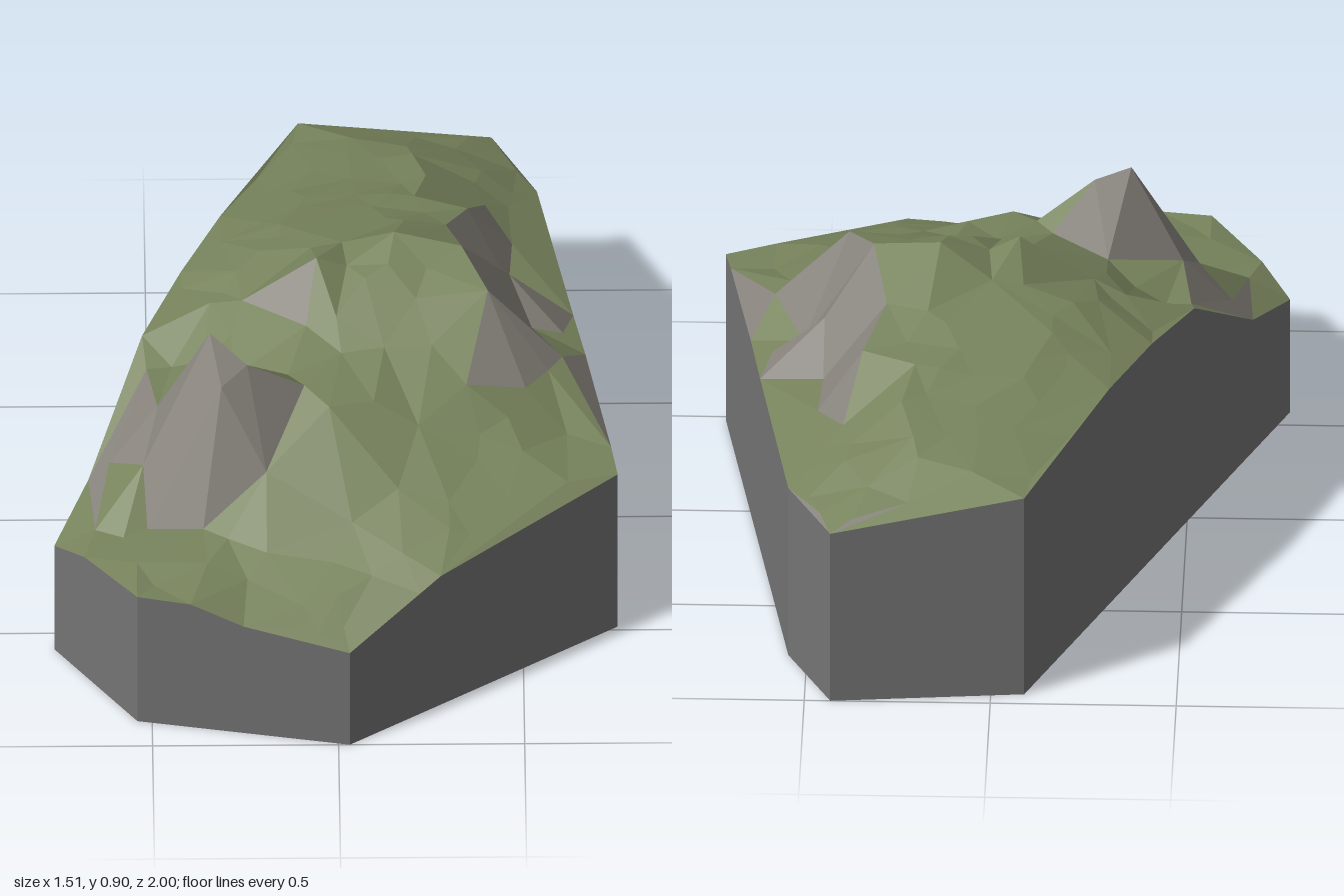
import * as THREE from 'three';

// Corners of the block outline: x, z, height, then extra rim points [fraction to next corner, height]
const CORNERS = [
  [-0.76, 0.57, 0.35, [0.36, 0.40]],
  [-0.54, 0.89, 0.42, [0.25, 0.415], [0.5, 0.36]],
  [0.03, 1, 0.31, [0.34, 0.435]],
  [0.755, 0.485, 0.515, [0.08, 0.53], [0.4, 0.54], [0.55, 0.53]],
  [0.55, -0.76, 0.52],
  [0.43, -1, 0.52],
  [-0.09, -0.95, 0.61, [0.32, 0.67], [0.48, 0.67], [0.64, 0.64], [0.86, 0.41]],
];

// Sharp peak and the rocks round it: x, height, z
const PEAK = [
  [-0.34, 0.89, 0.34], [-0.31, 0.79, 0.45], [-0.24, 0.82, 0.39], [-0.48, 0.62, 0.31],
  [-0.61, 0.47, 0.36], [-0.52, 0.53, 0.45], [-0.44, 0.6, 0.11], [-0.28, 0.66, 0.24],
  [-0.13, 0.71, 0.29], [-0.02, 0.7, 0.42], [-0.51, 0.42, 0.59], [-0.36, 0.45, 0.63],
  [-0.19, 0.58, 0.55], [-0.19, 0.445, 0.73], [0.22, 0.635, 0.42], [0.04, 0.5, 0.67],
];

// Main summit ridge and the cliffs on its +x side
const RIDGE = [
  [-0.05, 0.875, -0.01], [0.08, 0.845, 0.04], [0.16, 0.9, -0.09], [0.34, 0.875, -0.06],
  [0.41, 0.83, 0.08], [0.02, 0.82, -0.15], [0.13, 0.74, 0.21], [-0.08, 0.76, 0.14],
  [0.47, 0.7, -0.16], [0.53, 0.58, -0.08], [0.51, 0.63, 0.25], [0.61, 0.62, 0.1],
  [0.47, 0.58, -0.28], [0.36, 0.74, -0.4], [0.48, 0.58, -0.45], [0.3, 0.8, -0.25],
];

// Gentle grassy ground
const MEADOW = [
  [0.1, 0.75, -0.4], [0.25, 0.7, -0.6], [0.05, 0.69, -0.6], [0.2, 0.645, -0.8], [0.4, 0.6, -0.75],
  [-0.1, 0.73, -0.42], [-0.2, 0.77, -0.18], [-0.25, 0.74, 0], [-0.28, 0.7, 0.1],
  [-0.35, 0.44, 0.77], [-0.54, 0.43, 0.75], [-0.65, 0.41, 0.58], [0, 0.4, 0.86],
  [0.3, 0.53, 0.62], [0.5, 0.57, 0.45], [0.35, 0.68, 0.3], [0.62, 0.55, 0.35],
];

function makeRandom(seed) {
  return () => {
    seed = (seed * 16807) % 2147483647;
    return seed / 2147483647;
  };
}

function buildRim() {
  const rim = [];
  CORNERS.forEach(([x, z, y, ...extra], i) => {
    const [nx, nz] = CORNERS[(i + 1) % CORNERS.length];
    rim.push(new THREE.Vector3(x, y, z));
    for (const [t, h] of extra) {
      rim.push(new THREE.Vector3(x + (nx - x) * t, h, z + (nz - z) * t));
    }
  });
  return rim;
}

// Positive when a, b, c run counter-clockwise seen from above
const turn = (a, b, c) => (b.z - a.z) * (c.x - a.x) - (b.x - a.x) * (c.z - a.z);

function inCircle(a, b, c, p) {
  const row = (q) => [q.x - p.x, q.z - p.z, (q.x - p.x) ** 2 + (q.z - p.z) ** 2];
  const [ax, az, as] = row(a), [bx, bz, bs] = row(b), [cx, cz, cs] = row(c);
  const det = ax * (bz * cs - bs * cz) - az * (bx * cs - bs * cx) + as * (bx * cz - bz * cx);
  return det * turn(a, b, c) < 0;
}

// Delaunay triangulation seen from above, one point added at a time
function triangulate(points) {
  const outer = [[-300, 200], [300, 200], [0, -400]].map(([x, z]) => new THREE.Vector3(x, 0, z));
  let tris = [outer];
  for (const p of points) {
    const bad = tris.filter(([a, b, c]) => inCircle(a, b, c, p));
    const edges = bad.flatMap(([a, b, c]) => [[a, b], [b, c], [c, a]]);
    const border = edges.filter(([a, b]) => !edges.some(([c, d]) => c === b && d === a));
    tris = tris.filter((t) => !bad.includes(t));
    for (const [a, b] of border) tris.push([a, b, p]);
  }
  return tris
    .filter((t) => !t.some((p) => outer.includes(p)))
    .map(([a, b, c]) => (turn(a, b, c) > 0 ? [a, b, c] : [a, c, b]))
    .filter(([a, b, c]) => turn(a, b, c) > 1e-6);
}

const steepness = (t) => new THREE.Triangle(...t).getNormal(new THREE.Vector3()).y;

// Small uneven facets scattered over the gentle slopes
function scatterFacets(points, tris) {
  const random = makeRandom(41);
  const added = [];
  for (let x = -0.7; x < 0.75; x += 0.12) {
    for (let z = -0.95; z < 1; z += 0.12) {
      const p = new THREE.Vector3(x + (random() - 0.5) * 0.1, 0, z + (random() - 0.5) * 0.1);
      const bump = (random() - 0.5) * 0.018;
      const t = tris.find(([a, b, c]) => turn(a, b, p) > 0 && turn(b, c, p) > 0 && turn(c, a, p) > 0);
      if (!t || steepness(t) < 0.8) continue;
      if (points.some((q) => Math.hypot(q.x - p.x, q.z - p.z) < 0.065)) continue;
      const [a, b, c] = t;
      p.y = (a.y * turn(b, c, p) + b.y * turn(c, a, p) + c.y * turn(a, b, p)) / turn(a, b, c) + bump;
      added.push(p);
    }
  }
  return added;
}

function facetMesh(name, tris, color) {
  const geometry = new THREE.BufferGeometry().setFromPoints(tris.flat());
  geometry.computeVertexNormals();
  const mesh = new THREE.Mesh(geometry, new THREE.MeshStandardMaterial({ color, flatShading: true }));
  mesh.name = name;
  return mesh;
}

export function createModel() {
  const group = new THREE.Group();
  group.name = 'hillBlock';

  // Ground surface, split into grass and steep rock
  const rim = buildRim();
  const features = [...PEAK, ...RIDGE, ...MEADOW].map((p) => new THREE.Vector3(...p));
  const points = [...rim, ...features];
  const ground = triangulate([...points, ...scatterFacets(points, triangulate(points))]);
  group.add(facetMesh('grass', ground.filter((t) => steepness(t) >= 0.77), 0x77835c));
  group.add(facetMesh('rock', ground.filter((t) => steepness(t) < 0.77), 0x87837c));

  // Vertical cut sides and flat base
  const foot = rim.map((p) => new THREE.Vector3(p.x, 0, p.z));
  const walls = rim.flatMap((p, i) => {
    const j = (i + 1) % rim.length;
    return [[foot[i], foot[j], rim[j]], [foot[i], rim[j], p]];
  });
  group.add(facetMesh('sideWalls', walls, 0x747474));
  const centre = new THREE.Vector3();
  const base = foot.map((p, i) => [centre, foot[(i + 1) % foot.length], p]);
  group.add(facetMesh('base', base, 0x747474));

  return group;
}
